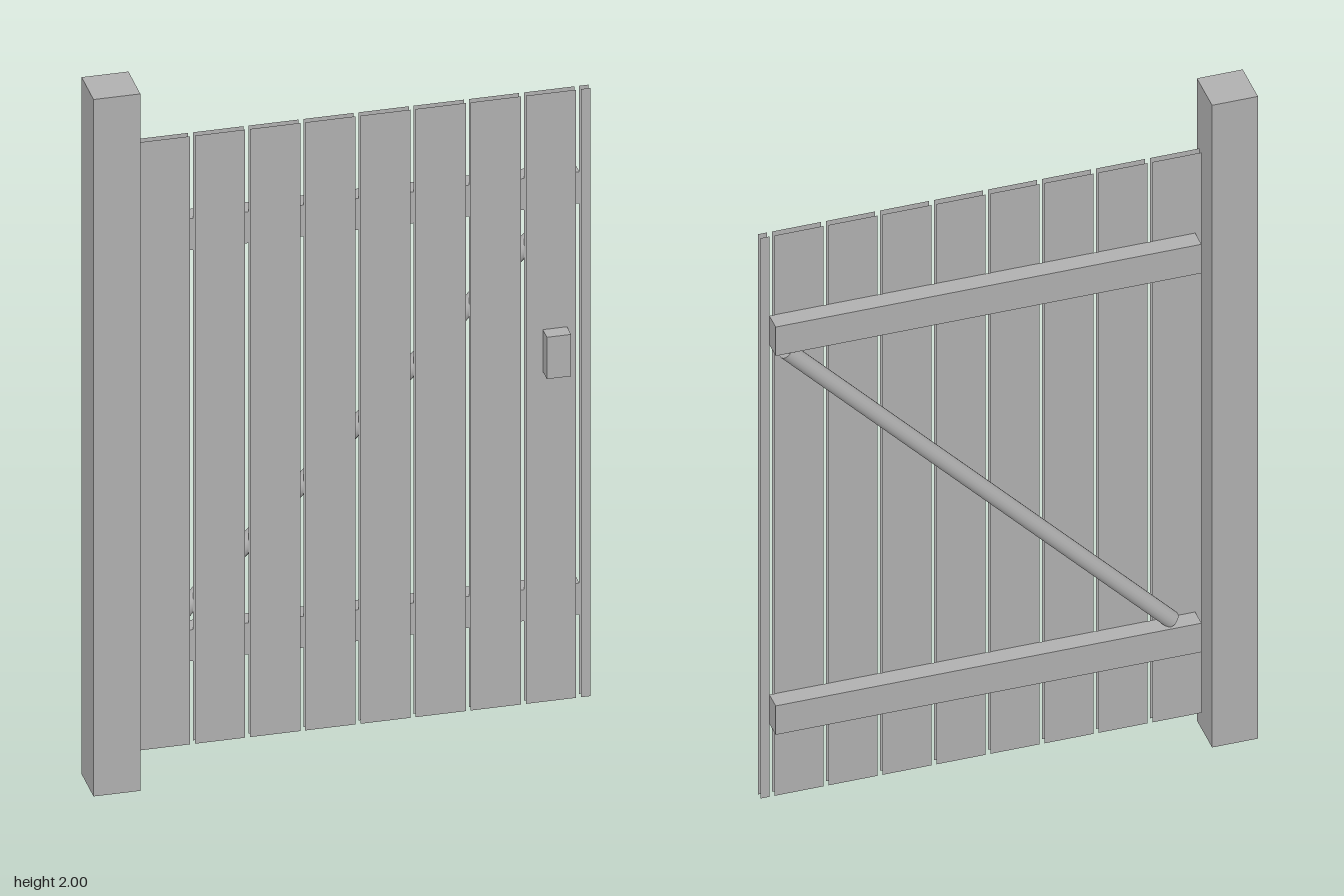
import * as THREE from 'three';

export function createModel() {
  const gate = new THREE.Group();
  gate.name = 'gate';
  const grey = new THREE.MeshStandardMaterial({ color: 0xb0b0b0, side: THREE.DoubleSide });
  grey.name = 'plain grey';

  function add(name, geometry, parent = gate) {
    const mesh = new THREE.Mesh(geometry, grey);
    mesh.name = name;
    parent.add(mesh);
    return mesh;
  }

  // Box given by its lower and upper corners
  function box(name, [x0, y0, z0], [x1, y1, z1]) {
    const mesh = add(name, new THREE.BoxGeometry(x1 - x0, y1 - y0, z1 - z0));
    mesh.position.set((x0 + x1) / 2, (y0 + y1) / 2, (z0 + z1) / 2);
    return mesh;
  }

  // Hinge post, open underneath (the bottom is the fourth of six box faces)
  const post = box('post', [-0.655, 0, -0.057], [-0.533, 2, 0.0655]);
  const index = Array.from(post.geometry.index.array);
  index.splice(18, 6);
  post.geometry.setIndex(index);
  post.geometry.clearGroups();

  // Boards: a front and a back sheet each, open at the edges; the last is cut narrow
  const front = 0.004, back = -0.0145, bottom = 0.082, top = 1.827;
  const pitch = 0.1437, boardWidth = 0.131, start = -0.519, end = 0.655;
  const boards = new THREE.Group();
  boards.name = 'boards';
  gate.add(boards);
  for (let i = 0; i < 9; i++) {
    const x0 = start + i * pitch;
    const x1 = Math.min(x0 + boardWidth, end);
    for (const z of [front, back]) {
      const sheet = add(z === front ? 'boardFront' : 'boardBack',
        new THREE.PlaneGeometry(x1 - x0, top - bottom), boards);
      sheet.position.set((x0 + x1) / 2, (bottom + top) / 2, z);
      if (z === back) sheet.rotation.y = Math.PI;
    }
  }

  // Two cross rails on the back
  box('lowerRail', [-0.502, 0.31, -0.0655], [0.631, 0.4, back]);
  box('upperRail', [-0.502, 1.49, -0.0655], [0.631, 1.58, back]);

  // Round diagonal brace between the rails
  const from = new THREE.Vector3(-0.432, 0.408, -0.0375);
  const to = new THREE.Vector3(0.594, 1.48, -0.0375);
  const along = to.clone().sub(from);
  const brace = add('diagonalBrace', new THREE.CylinderGeometry(0.023, 0.023, along.length(), 16));
  brace.position.copy(from).add(to).multiplyScalar(0.5);
  brace.quaternion.setFromUnitVectors(new THREE.Vector3(0, 1, 0), along.normalize());

  // Latch block on the front
  box('latch', [0.531, 1.03, front], [0.594, 1.15, 0.046]);

  return gate;
}
